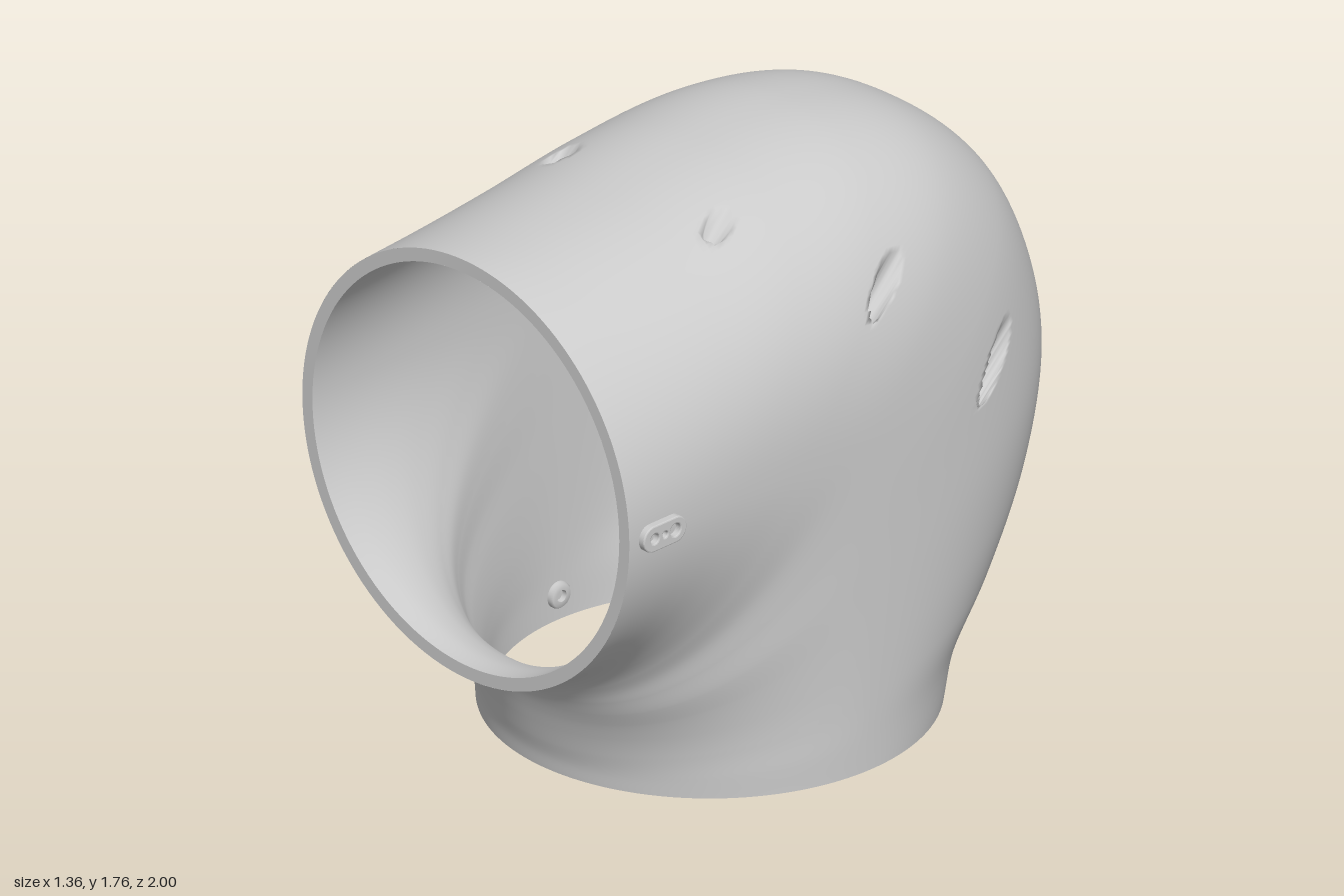
import * as THREE from 'three';

const R = 0.65, WALL = 0.04, Q = Math.SQRT1_2;
const mat = new THREE.MeshStandardMaterial({ color: 0xcccccc, side: THREE.DoubleSide });

// Elbow sections, front mouth to bottom mouth:
// inner bend (z, y), outer bend (z, y), fraction of the way to the widest point
const sections = [
  [1, 0.38, 1, 1.68, 0.5],
  [0.93, 0.38, 0.75, 1.685, 0.5],
  [0.88, 0.365, 0.45, 1.705, 0.5],
  [0.845, 0.345, 0.1, 1.745, 0.49],
  [0.82, 0.325, -0.25, 1.75, 0.49],
  [0.8, 0.303, -0.55, 1.67, 0.5],
  [0.783, 0.28, -0.8, 1.475, 0.465],
  [0.766, 0.245, -0.945, 1.22, 0.425],
  [0.752, 0.205, -1, 0.96, 0.41],
  [0.738, 0.155, -0.945, 0.675, 0.415],
  [0.724, 0.1, -0.81, 0.41, 0.44],
  [0.71, 0.045, -0.64, 0.18, 0.48],
  [0.705, 0, -0.595, 0, 0.5],
];
const innerBend = new THREE.CatmullRomCurve3(sections.map(s => new THREE.Vector3(s[4], s[1], s[0])));
const outerBend = new THREE.CatmullRomCurve3(sections.map(s => new THREE.Vector3(0, s[3], s[2])));

// Screw wells sunk at 45 degrees: x and position along the sloping joint
const wells = [[0.31, 1.407], [0.565, 0.96], [0.57, 0.39], [0.395, -0.09]];
const JOINT = 0.85;

function sinkWells(v, radius, floor) {
  const depth = (v.y - v.z) * Q, along = (v.y + v.z) * Q;
  if (depth <= floor) return;
  for (const [x, p] of wells) {
    const d = Math.hypot(Math.abs(v.x) - x, along - p);
    const push = (depth - floor) * (1 - THREE.MathUtils.smoothstep(d, radius * 0.85, radius * 1.1));
    v.y -= push * Q;
    v.z += push * Q;
  }
}

// One skin of the elbow, lofted through the sections, with rows closest around the dome
function skin(inset, rows, cols, radius, floor, inward) {
  const pos = [], idx = [], v = new THREE.Vector3();
  for (let i = 0; i <= rows; i++) {
    const u = i / rows, t = u + 0.4 * Math.sin(Math.PI * 2 * u) / (Math.PI * 2);
    const I = innerBend.getPoint(t), O = outerBend.getPoint(t), f = I.x;
    I.x = 0;
    const S = I.clone().lerp(O, f);
    const toOuter = O.sub(S), toInner = I.sub(S);
    toOuter.setLength(toOuter.length() - inset);
    toInner.setLength(toInner.length() - inset);
    // fuller than an ellipse over the dome and in the crook
    const bulge = Math.sin(Math.PI * t);
    const outerPower = 2 / (2 + 0.38 * bulge), innerPower = 2 / (2 + 0.45 * bulge ** 4);
    for (let j = 0; j < cols; j++) {
      const a = j / cols * Math.PI * 2, c = Math.cos(a), s = Math.sin(a);
      const e = c > 0 ? outerPower : innerPower;
      v.copy(S).addScaledVector(c > 0 ? toOuter : toInner, Math.abs(c) ** e);
      v.x = Math.sign(s) * Math.abs(s) ** e * (R - inset);
      sinkWells(v, radius, floor);
      pos.push(v.x, v.y, v.z);
      if (i === rows) continue;
      const k = i * cols + j, n = i * cols + (j + 1) % cols;
      if (inward) idx.push(k, k + cols, n, n, k + cols, n + cols);
      else idx.push(k, n, k + cols, n, n + cols, k + cols);
    }
  }
  const g = new THREE.BufferGeometry();
  g.setAttribute('position', new THREE.Float32BufferAttribute(pos, 3));
  g.setIndex(idx);
  g.computeVertexNormals();
  return g;
}

export function createModel() {
  const group = new THREE.Group();
  const add = (name, geo, x = 0, y = 0, z = 0) => {
    const m = new THREE.Mesh(geo, mat);
    m.name = name;
    m.position.set(x + 0.005, y, z);
    group.add(m);
    return m;
  };

  // Elbow shell and its two open mouths
  add('outerShell', skin(0, 210, 250, 0.032, 0.89, false));
  add('innerShell', skin(WALL, 110, 160, 0.04, 0.865, true));
  const rim = new THREE.RingGeometry(R - WALL, R, 128);
  add('frontRim', rim, 0, 1.03, 1);
  add('bottomRim', rim, 0, 0, 0.055).rotation.x = Math.PI / 2;

  // Screw tabs on the inside of the sloping joint
  for (const [x, p] of wells) for (const side of [-1, 1]) {
    const tab = add('screwTab', new THREE.CylinderGeometry(0.045, 0.045, 0.03, 24),
      side * (x - 0.01), (p + JOINT) * Q, (p - JOINT) * Q);
    tab.rotation.x = -Math.PI / 4;
  }

  // Ledge across the back of the joint, drawn in the plane of the joint
  const ledge = new THREE.Shape();
  ledge.moveTo(-0.36, 0.14);
  ledge.lineTo(-0.23, 0.14);
  ledge.quadraticCurveTo(-0.25, 0.19, -0.19, 0.21);
  ledge.quadraticCurveTo(0, 0.24, 0.19, 0.21);
  ledge.quadraticCurveTo(0.25, 0.19, 0.23, 0.14);
  ledge.lineTo(0.36, 0.14);
  ledge.quadraticCurveTo(0, 0.4, -0.36, 0.14);
  const ledgeGeo = new THREE.ExtrudeGeometry(ledge, { depth: 0.03, bevelEnabled: false, curveSegments: 24 });
  add('jointLedge', ledgeGeo, 0, (JOINT - 0.015) * Q, -(JOINT - 0.015) * Q).rotation.x = -Math.PI * 0.75;

  // Pill-shaped latch plate on the left of the front mouth
  const pill = new THREE.Shape();
  pill.absarc(0.043, 0, 0.04, -Math.PI / 2, Math.PI / 2);
  pill.absarc(-0.043, 0, 0.04, Math.PI / 2, Math.PI * 1.5);
  pill.closePath();
  for (const [x, r] of [[0.04, 0.02], [0, 0.01], [-0.04, 0.016]]) {
    const hole = new THREE.Path();
    hole.absarc(x, 0, r, 0, Math.PI * 2, true);
    pill.holes.push(hole);
  }
  add('latchPlate', new THREE.ExtrudeGeometry(pill, {
    depth: 0.022, bevelSize: 0.004, bevelThickness: 0.004, bevelOffset: -0.004, bevelSegments: 2, curveSegments: 16,
  }), 0.645, 1.03, 0.88).rotation.y = Math.PI / 2;

  // Grommet through the right wall near the bottom mouth
  const grommet = [[0.018, -0.02], [0.034, -0.02], [0.04, -0.012], [0.04, 0.052], [0.034, 0.066],
    [0.024, 0.074], [0.018, 0.07], [0.018, -0.02]].map(p => new THREE.Vector2(...p));
  add('grommet', new THREE.LatheGeometry(grommet, 32), -0.613, 0.08, 0.05).rotation.z = Math.PI / 2;

  return group;
}
